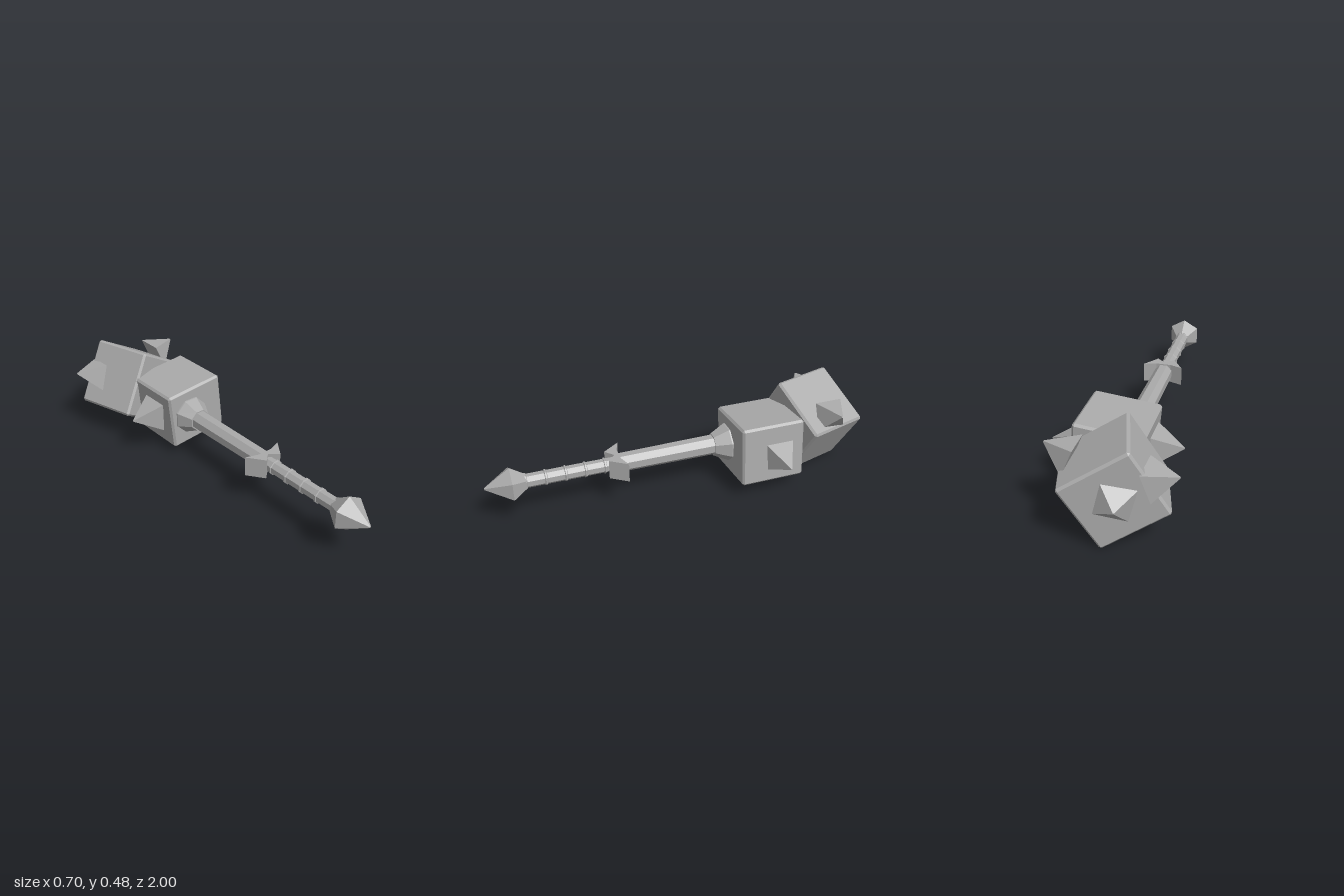
import * as THREE from 'three';
import { ConvexGeometry } from 'three/addons/geometries/ConvexGeometry.js';

const AXIS_Y = 0.222; // height of the handle's axis

export function createModel() {
  const model = new THREE.Group();
  model.name = 'spikedHammer';
  const steel = new THREE.MeshStandardMaterial({ color: 0xaaaaaa });
  steel.name = 'steel grey';

  const add = (name, geometry) => {
    const flat = geometry.index ? geometry.toNonIndexed() : geometry;
    flat.computeVertexNormals(); // faceted look
    const mesh = new THREE.Mesh(flat, steel);
    mesh.name = name;
    model.add(mesh);
    return mesh;
  };

  // Faceted solid turned around the handle axis; profile is [radius, z] from back to front
  const turned = (name, profile, sides, phase = 0) => {
    const points = profile.map(([r, z]) => new THREE.Vector2(r, z));
    const geometry = new THREE.LatheGeometry(points, sides, phase).rotateX(Math.PI / 2);
    add(name, geometry).position.y = AXIS_Y;
  };

  // Box with all edges chamfered
  const block = (name, w, h, d, c) => {
    const points = [];
    for (const x of [-1, 1]) for (const y of [-1, 1]) for (const z of [-1, 1]) {
      const [a, b, e] = [x * w / 2, y * h / 2, z * d / 2];
      points.push(
        new THREE.Vector3(a, b - y * c, e - z * c),
        new THREE.Vector3(a - x * c, b, e - z * c),
        new THREE.Vector3(a - x * c, b - y * c, e));
    }
    return add(name, new ConvexGeometry(points));
  };

  // Four-sided spike given by its tip and direction
  const spike = (name, tip, direction, side, height) => {
    const geometry = new THREE.CylinderGeometry(0.004, side / Math.SQRT2, height, 4)
      .rotateY(Math.PI / 4).translate(0, -height / 2, 0);
    const mesh = add(name, geometry);
    mesh.position.set(...tip);
    mesh.quaternion.setFromUnitVectors(
      new THREE.Vector3(0, 1, 0), new THREE.Vector3(...direction).normalize());
  };

  // Handle
  const eighth = Math.PI / 8;
  turned('headCollar', [[0, -0.28], [0.103, -0.28], [0.1, -0.262], [0.06, -0.185], [0, -0.185]], 8, eighth);
  turned('shaft', [[0, -0.25], [0.054, -0.25], [0.049, 0.34], [0, 0.34]], 8, eighth);
  turned('grip', [[0, 0.3], [0.036, 0.3], [0.036, 0.82], [0, 0.82]], 8, eighth);
  for (let i = 0; i < 5; i++) {
    const z = 0.4 + i * 0.1;
    turned('gripRing', [[0.034, z - 0.008], [0.041, z - 0.004], [0.041, z + 0.004], [0.034, z + 0.008]], 8, eighth);
  }
  turned('pommel', [[0, 0.795], [0.04, 0.795], [0.092, 0.87], [0.006, 0.998], [0, 1]], 6);

  // Winged guard: bow-tie outline in x and z, extruded upwards
  const outline = [[-0.107, 0.3], [-0.04, 0.323], [0.04, 0.323], [0.107, 0.3],
    [0.045, 0.387], [0, 0.347], [-0.045, 0.387]];
  const shape = new THREE.Shape(outline.map(([x, z]) => new THREE.Vector2(x, -z)));
  const guard = new THREE.ExtrudeGeometry(shape, { depth: 0.104, bevelEnabled: false });
  add('guard', guard.rotateX(-Math.PI / 2)).position.y = AXIS_Y - 0.052;

  // Hammer head: two blocks knocked askew
  const front = block('frontHeadBlock', 0.341, 0.315, 0.342, 0.011);
  front.position.set(0.045, 0.222, -0.44);
  front.rotation.z = 0.1;

  const back = block('rearHeadBlock', 0.36, 0.358, 0.34, 0.011);
  back.position.set(-0.047, 0.242, -0.765);
  back.rotation.set(0, 0.28, -0.53, 'YXZ');

  // Spikes
  spike('frontBlockLeftSpike', [0.35, 0.22, -0.475], [1, 0, 0], 0.15, 0.145);
  spike('frontBlockRightSpike', [-0.28, 0.22, -0.41], [-1, 0, 0], 0.155, 0.145);
  spike('rearBlockLeftSpike', [0.257, 0.408, -0.795], [0.92, 0.39, 0], 0.145, 0.135);
  spike('rearBlockRightSpike', [-0.352, 0.358, -0.843], [-0.95, 0.3, -0.1], 0.145, 0.135);
  spike('rearBlockEndSpike', [-0.112, 0.245, -1], [-0.25, 0, -0.97], 0.19, 0.09);

  return model;
}
